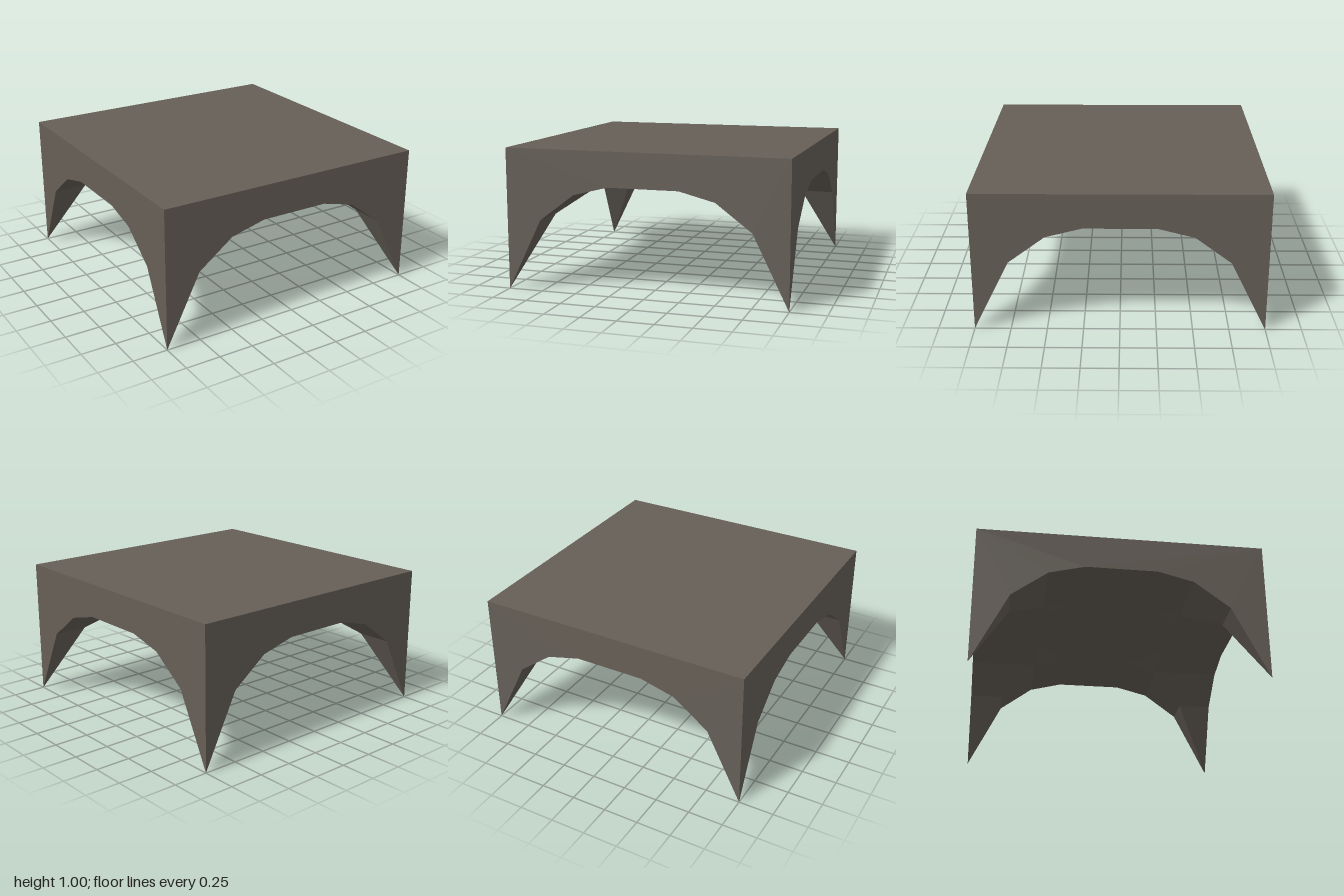
import * as THREE from 'three';

// Arch profile: horizontal stations and the ceiling height at each
const STATIONS = [-1, -0.75, -0.5, -0.25, 0.25, 0.5, 0.75, 1];
const HEIGHTS = [0, 0.505, 0.692, 0.756, 0.756, 0.692, 0.505, 0];
const TOP = 1;

// Underside where two faceted tunnels cross; the higher ceiling wins
function vaultGeometry() {
  const positions = [];
  const point = (i, j) => [STATIONS[i], Math.max(HEIGHTS[i], HEIGHTS[j]), STATIONS[j]];
  const last = STATIONS.length - 1;
  for (let i = 0; i < last; i++) {
    for (let j = 0; j < last; j++) {
      const a = point(i, j), b = point(i + 1, j), c = point(i + 1, j + 1), d = point(i, j + 1);
      // Cells fold along the groin line, except the chamfered ones next to the crown
      const radial = (i - 3) * (j - 3) > 0;
      const chamfer = Math.abs(i - 3) === 1 && Math.abs(j - 3) === 1;
      const corners = radial !== chamfer ? [a, b, c, a, c, d] : [a, b, d, b, c, d];
      positions.push(...corners.flat());
    }
  }
  const geometry = new THREE.BufferGeometry();
  geometry.setAttribute('position', new THREE.Float32BufferAttribute(positions, 3));
  geometry.computeVertexNormals();
  return geometry;
}

// Flat side wall with the arch cut out of its lower edge
function wallGeometry() {
  const shape = new THREE.Shape(STATIONS.map((x, i) => new THREE.Vector2(x, HEIGHTS[i])));
  shape.lineTo(1, TOP);
  shape.lineTo(-1, TOP);
  shape.closePath();
  return new THREE.ShapeGeometry(shape).translate(0, 0, 1);
}

export function createModel() {
  const model = new THREE.Group();
  model.name = 'crossVault';

  const stone = new THREE.MeshStandardMaterial({ color: 0x665f57 });
  stone.name = 'grey brown stone';

  const add = (name, geometry) => {
    const mesh = new THREE.Mesh(geometry, stone);
    mesh.name = name;
    model.add(mesh);
    return mesh;
  };

  // Flat roof
  add('roof', new THREE.PlaneGeometry(2, 2).rotateX(-Math.PI / 2).translate(0, TOP, 0));

  // Four identical arched walls
  const wall = wallGeometry();
  ['frontWall', 'leftWall', 'backWall', 'rightWall'].forEach((name, k) => {
    add(name, wall).rotation.y = (k * Math.PI) / 2;
  });

  // Vaulted ceiling
  add('vaultCeiling', vaultGeometry());

  return model;
}
